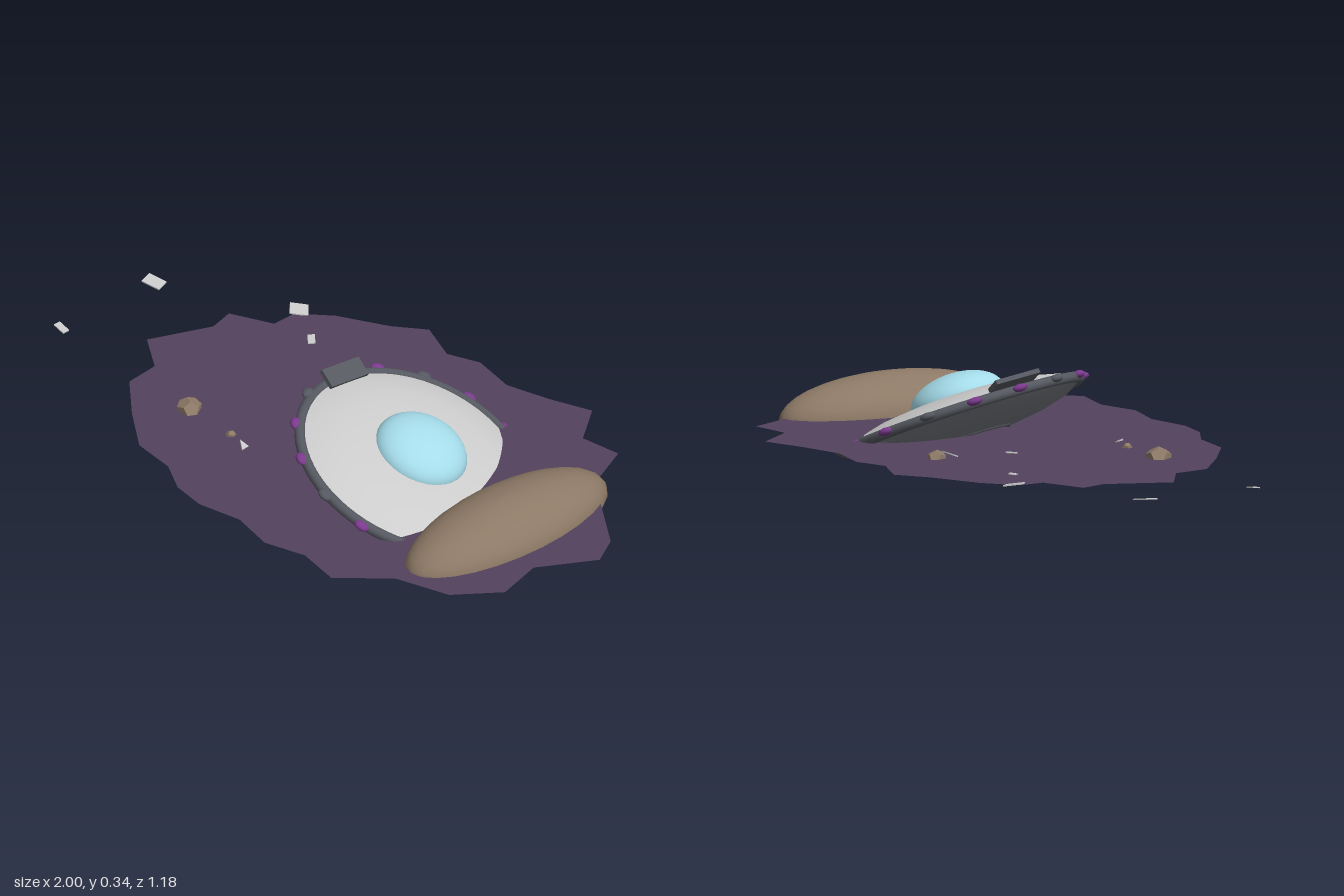
import * as THREE from 'three';

const mat = (color, extra = {}) => new THREE.MeshStandardMaterial({ color, ...extra });
const hullGrey = mat(0xcccccc);
const bellyGrey = mat(0x777a80);
const trimGrey = mat(0x555860);
const purple = mat(0x7a3a8c);
const glass = mat(0xa5dcea);
const soil = mat(0x8d7966);
const rockBrown = mat(0x8d7966, { flatShading: true });
const groundPurple = mat(0x54425e, { side: THREE.DoubleSide });
const plateGrey = mat(0xcccccc, { side: THREE.DoubleSide });

const GROUND_Y = 0.135;

function add(parent, name, geometry, material, x = 0, y = 0, z = 0) {
  const mesh = new THREE.Mesh(geometry, material);
  mesh.name = name;
  mesh.position.set(x, y, z);
  parent.add(mesh);
  return mesh;
}

// lathe surface through [radius, height] points
const lathe = (points, segments = 48) =>
  new THREE.LatheGeometry(points.map(([r, h]) => new THREE.Vector2(r, h)), segments);

// scaled geometry whose underside is pressed flat at the given height
function flatBottom(geometry, sx, sy, sz, floor) {
  geometry.scale(sx, sy, sz);
  const p = geometry.attributes.position;
  for (let i = 0; i < p.count; i++) p.setY(i, Math.max(p.getY(i), floor));
  geometry.computeVertexNormals();
  return geometry;
}

// jagged flat patch of scorched ground
function makeGround() {
  const outline = [
    [-0.7, -0.17], [-0.57, -0.23], [-0.57, -0.31], [-0.48, -0.39], [-0.33, -0.47], [-0.24, -0.54],
    [-0.11, -0.49], [-0.01, -0.53], [0.13, -0.505], [0.27, -0.545], [0.4, -0.595], [0.49, -0.475],
    [0.62, -0.495], [0.68, -0.36], [0.79, -0.27], [0.95, -0.16], [1.0, -0.07], [0.9, 0.1],
    [0.94, 0.25], [0.84, 0.38], [0.67, 0.435], [0.54, 0.57], [0.4, 0.545], [0.27, 0.585],
    [0.13, 0.555], [-0.01, 0.585], [-0.12, 0.57], [-0.22, 0.515], [-0.36, 0.5], [-0.5, 0.4],
    [-0.63, 0.29], [-0.64, 0.18], [-0.76, 0.1], [-0.68, -0.09],
  ];
  const shape = new THREE.Shape(outline.map(([x, z]) => new THREE.Vector2(x, -z)));
  return new THREE.ShapeGeometry(shape).rotateX(-Math.PI / 2);
}

// crashed saucer, built level around its rim centre
function makeSaucer() {
  const saucer = new THREE.Group();
  saucer.name = 'saucer';

  add(saucer, 'belly', lathe([[0, -0.07], [0.14, -0.067], [0.24, -0.052], [0.31, -0.033], [0.36, -0.004]]), bellyGrey);
  add(saucer, 'upperHull', lathe([[0.36, 0.004], [0.31, 0.026], [0.24, 0.044], [0.14, 0.056], [0, 0.06]]), hullGrey);
  const rim = add(saucer, 'rim', new THREE.TorusGeometry(0.358, 0.016, 10, 64), trimGrey);
  rim.rotation.x = Math.PI / 2;
  const bellyRing = add(saucer, 'bellyRing', new THREE.TorusGeometry(0.12, 0.006, 6, 40), trimGrey, 0, -0.067, 0);
  bellyRing.rotation.x = Math.PI / 2;

  const dome = add(saucer, 'dome', new THREE.SphereGeometry(0.142, 32, 12, 0, Math.PI * 2, 0, Math.PI / 2), glass, 0, 0.048, 0);
  dome.scale.y = 0.55;

  // rim lamps, every third one dead
  for (let k = 0; k < 16; k++) {
    const a = (k * Math.PI) / 8;
    const lamp = add(saucer, 'rimLamp', new THREE.SphereGeometry(1, 12, 8), k % 3 === 1 ? trimGrey : purple,
      0.372 * Math.cos(a), 0.004, 0.372 * Math.sin(a));
    lamp.scale.set(0.018, 0.012, 0.024);
    lamp.rotation.y = -a;
  }

  // loose hatch plate on the raised edge
  const hatch = add(saucer, 'hatch', new THREE.BoxGeometry(0.06, 0.014, 0.15), trimGrey, -0.352, 0.03, 0);
  hatch.rotation.z = -0.25;

  // bent shards on the buried edge
  for (const [i, z] of [-0.14, -0.04, 0.06].entries()) {
    const shard = add(saucer, 'bentShard', new THREE.ConeGeometry(0.022, 0.07, 4), trimGrey, 0.36, 0.015, z);
    shard.rotation.set(0.3 * (i - 1), 0, -1.2);
  }

  const normal = new THREE.Vector3(0.36, 0.92, -0.14).normalize();
  saucer.quaternion.setFromUnitVectors(new THREE.Vector3(0, 1, 0), normal);
  saucer.position.set(0.295, 0.172, 0.012);
  return saucer;
}

export function createModel() {
  const model = new THREE.Group();
  model.name = 'crashSite';

  add(model, 'ground', makeGround(), groundPurple, 0, GROUND_Y, 0);
  model.add(makeSaucer());

  // bank of earth pushed up in front of the saucer
  add(model, 'earthBank', flatBottom(new THREE.SphereGeometry(1, 28, 18), 0.157, 0.12, 0.378, -0.012), soil, 0.682, 0.122, 0.008);

  // roots hanging below the bank
  for (const [z, tilt] of [[0.115, 0.1], [0.06, -0.3], [0.01, 0.25], [-0.045, -0.1], [-0.1, 0.15]]) {
    const root = add(model, 'root', new THREE.CylinderGeometry(0.006, 0.004, 0.055, 6), rockBrown, 0.615, 0.088, z);
    root.rotation.x = tilt;
  }

  // rocks: x, z, radius
  for (const [x, z, r] of [[-0.405, 0.26, 0.04], [-0.08, -0.3, 0.03], [-0.22, 0.265, 0.016]]) {
    const geometry = flatBottom(new THREE.DodecahedronGeometry(r), 1, 0.85, 1, -0.25 * r);
    add(model, 'rock', geometry, rockBrown, x, GROUND_Y, z).rotation.y = x * 9;
  }

  // torn rectangular plates: x, z, width, depth, turn
  for (const [x, z, w, d, turn] of [
    [-0.967, -0.12, 0.06, 0.042, 0.25], [-0.572, -0.33, 0.055, 0.05, 0.8],
    [-0.97, 0.245, 0.045, 0.022, -0.1], [-0.43, -0.248, 0.038, 0.022, -0.7],
  ]) {
    const plate = add(model, 'plate', new THREE.BoxGeometry(w, 0.004, d), plateGrey, x, 0.14, z);
    plate.rotation.set(0.1, turn, -0.15, 'YXZ');
  }

  // triangular splinters: x, z, size, turn
  for (const [x, z, r, turn] of [
    [-0.085, -0.25, 0.036, 0.4], [-0.15, -0.09, 0.022, 1.5], [-0.145, 0.285, 0.026, 2.6], [0.52, 0.07, 0.03, 1.2],
  ]) {
    const splinter = add(model, 'splinter', new THREE.CylinderGeometry(r, r, 0.004, 3), plateGrey, x, 0.142, z);
    splinter.scale.z = 0.6;
    splinter.rotation.set(0.35, turn, 0.15, 'YXZ');
  }

  return model;
}
